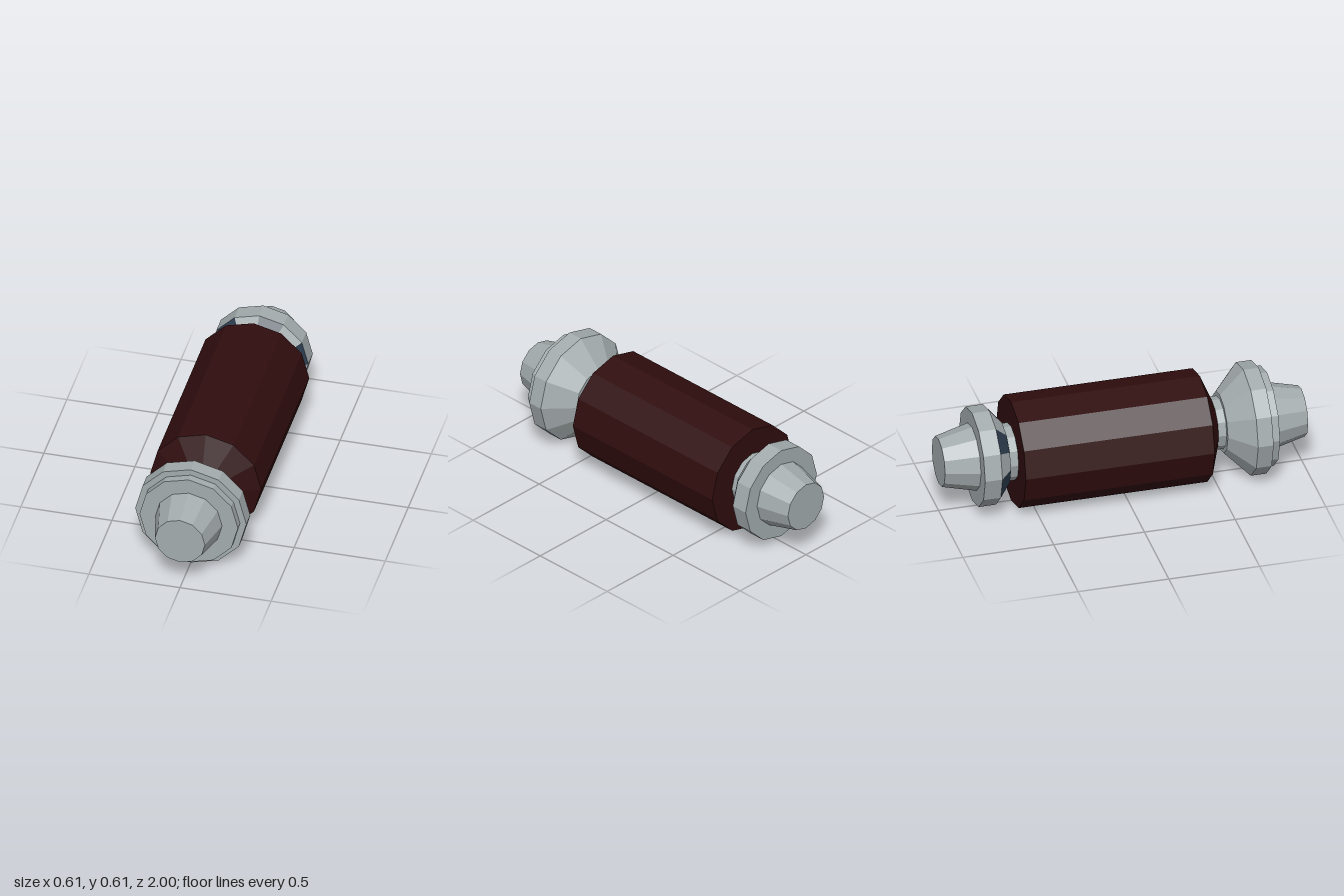
import * as THREE from 'three';

const SIDES = 12;
const CENTRE_Y = 0.305;

export function createModel() {
  const material = (name, color) => {
    const m = new THREE.MeshStandardMaterial({ color, flatShading: true });
    m.name = name;
    return m;
  };
  const steel = material('steel grey', 0xa3abad);
  const red = material('dark red', 0x300d0e);
  const blue = material('dark blue', 0x2c3b4c);

  const group = new THREE.Group();
  group.name = 'canister';

  // Turned part along z; profile is [radius, z] with rising z.
  const turned = (name, mat, profile) => {
    const points = profile.map(([r, z]) => new THREE.Vector2(r, z));
    const geometry = new THREE.LatheGeometry(points, SIDES).rotateX(Math.PI / 2);
    const mesh = new THREE.Mesh(geometry, mat);
    mesh.name = name;
    mesh.position.y = CENTRE_Y;
    group.add(mesh);
    return mesh;
  };

  // Main casing with a chamfered front shoulder
  turned('casing', red, [[0, -0.6], [0.305, -0.6], [0.305, 0.44], [0.145, 0.505], [0, 0.505]]);

  // Necks joining the end caps to the casing
  turned('frontNeck', steel, [[0.143, 0.49], [0.143, 0.56]]);
  turned('backNeck', steel, [[0.155, -0.66], [0.155, -0.59]]);

  // Front cap: flared collar and stepped rim
  turned('frontCap', steel, [
    [0, 0.55], [0.167, 0.55], [0.305, 0.68], [0.305, 0.765],
    [0.27, 0.765], [0.27, 0.81], [0, 0.81],
  ]);

  // Back cap: rim, then a tapered collar with alternating facets
  turned('backRim', steel, [[0, -0.815], [0.27, -0.815], [0.27, -0.72]]);
  const collar = turned('backCollar', [steel, blue], [[0.27, -0.72], [0.185, -0.65]]);
  for (let i = 0; i < SIDES; i++) collar.geometry.addGroup(i * 6, 6, i % 2);
  turned('backCollarFace', steel, [[0.185, -0.65], [0, -0.65]]);

  // Tapered nozzles at both ends
  turned('frontNozzle', steel, [[0.183, 0.81], [0.137, 1], [0, 1]]);
  turned('backNozzle', steel, [[0, -1], [0.137, -1], [0.183, -0.815]]);

  return group;
}
